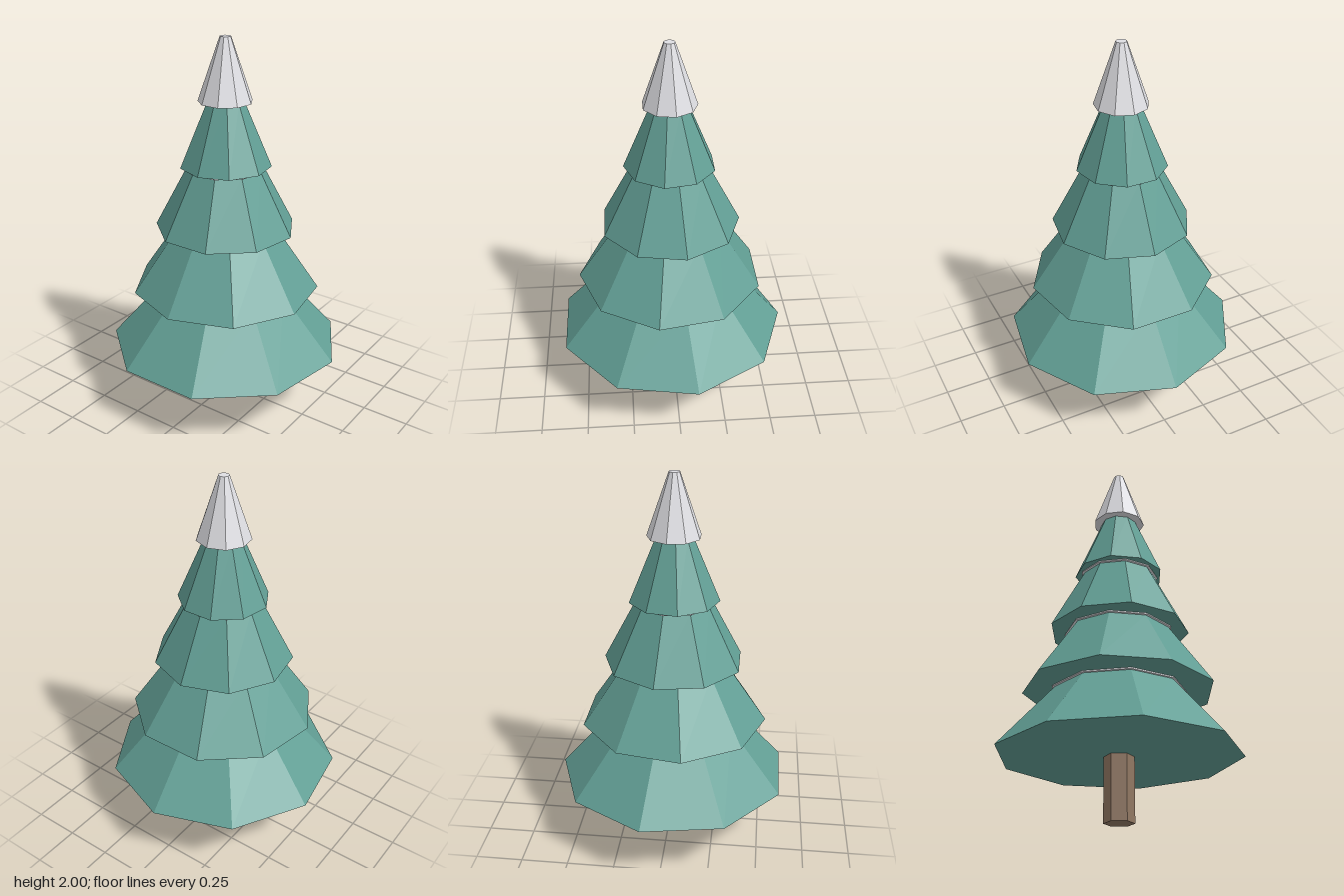
import * as THREE from 'three';

export function createModel() {
  const tree = new THREE.Group();
  tree.name = 'tree';

  const material = (name, color) => {
    const m = new THREE.MeshStandardMaterial({ color, flatShading: true });
    m.name = name;
    return m;
  };
  const green = material('needle green', 0x63a096);
  const white = material('snow white', 0xdfdfe3);
  const brown = material('bark brown', 0x917863);

  // Tapered prism between two heights; flipped turns a flat side to the front
  const prism = (name, rTop, rBottom, y0, y1, sides, mat, flipped) => {
    const mesh = new THREE.Mesh(new THREE.CylinderGeometry(rTop, rBottom, y1 - y0, sides), mat);
    mesh.name = name;
    mesh.position.set(0, (y0 + y1) / 2, 0.018);
    if (flipped) mesh.rotation.y = Math.PI;
    tree.add(mesh);
  };

  prism('trunk', 0.077, 0.077, 0, 0.34, 6, brown, false);

  // Branch tiers, alternately turned, each with a thin snow sheet on top
  const tiers = [
    [0.626, 0.34, 0.33, 0.66],
    [0.4975, 0.272, 0.668, 0.997],
    [0.369, 0.195, 1.005, 1.337],
    [0.237, 0.095, 1.345, 1.68],
  ];
  tiers.forEach(([rBottom, rTop, y0, y1], i) => {
    const flipped = i % 2 === 0;
    prism('branchTier' + (i + 1), rTop, rBottom, y0, y1, 9, green, flipped);
    if (i < 3) prism('snowSheet' + (i + 1), rTop + 0.012, rTop + 0.016, y1 - 0.002, y1 + 0.006, 9, white, flipped);
  });

  prism('snowTip', 0.028, 0.14, 1.678, 2, 9, white, true);

  return tree;
}
